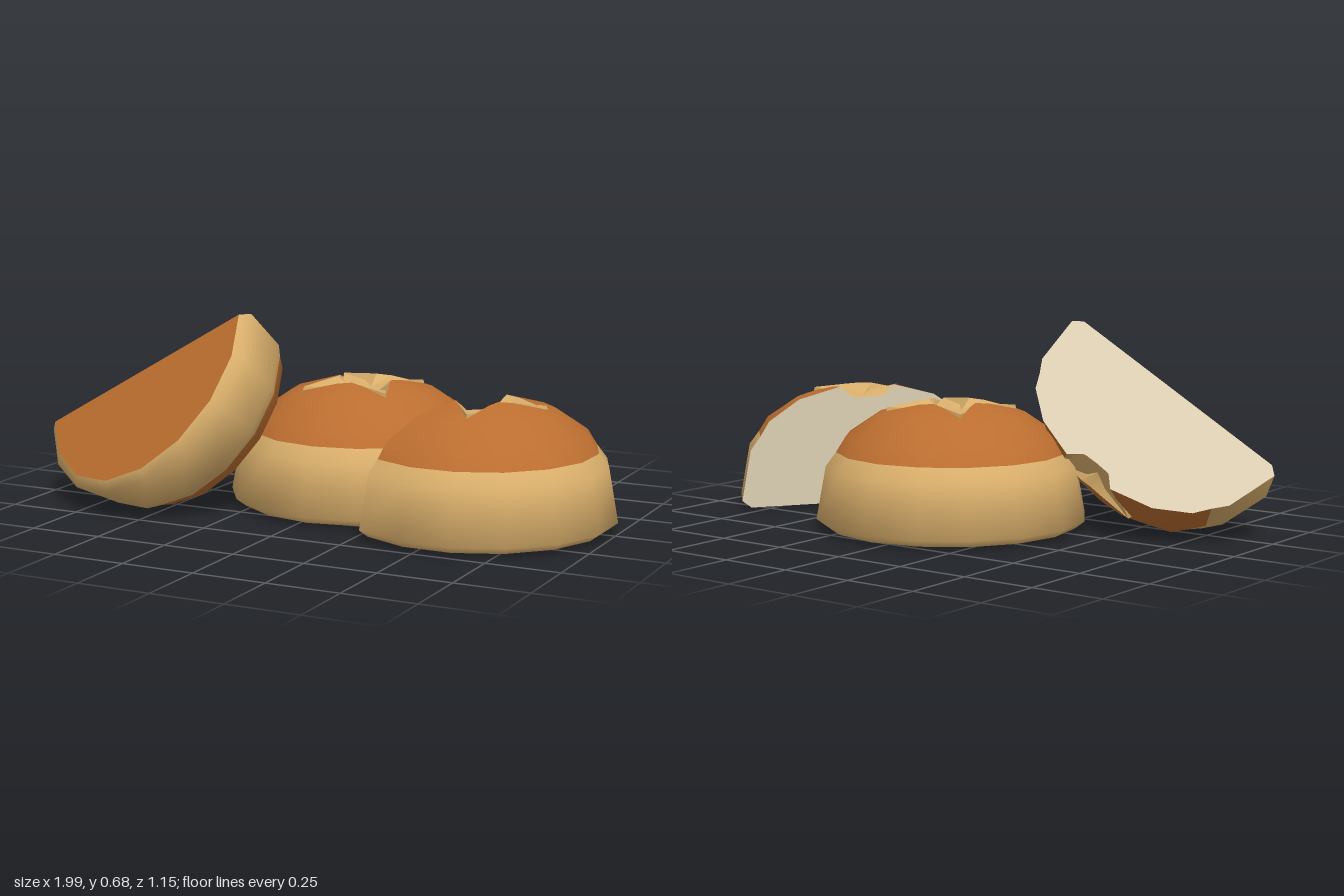
import * as THREE from 'three';
import { toCreasedNormals } from 'three/addons/utils/BufferGeometryUtils.js';

const mat = (name, color) => {
  const m = new THREE.MeshStandardMaterial({ color });
  m.name = name;
  return m;
};

// Rows of [radius, height] from the rim up to the scored star in the crown.
const constant = (r, y) => () => [r, y];
// A row that differs on the axes, between, and on the diagonals (16 sides).
const starRow = (axis, between, diagonal) => (k) =>
  [axis, between, diagonal, between][((k % 4) + 4) % 4];

const SIDE = [constant(0.428, 0.005), constant(0.461, 0.03), constant(0.428, 0.21), constant(0.393, 0.257)];
const STAR_EDGE = starRow([0.1, 0.424], [0.128, 0.419], [0.222, 0.393]);
const DOME = [constant(0.36, 0.31), constant(0.25, 0.384), STAR_EDGE];
const STAR = [
  STAR_EDGE,
  starRow([0.055, 0.385], [0.108, 0.397], [0.218, 0.407]),
  constant(0, 0.383),
];
const BASE = [constant(0, 0.005), SIDE[0]];

// Surface swept through rows; half = number of 22.5 degree steps either side of +x.
function sweep(rows, half, crease) {
  const pos = [], index = [], n = 2 * half + 1;
  for (const row of rows) {
    for (let k = -half; k <= half; k++) {
      const [r, y] = row(k), a = (k * Math.PI) / 8;
      pos.push(r * Math.cos(a), y, r * Math.sin(a));
    }
  }
  for (let j = 0; j < rows.length - 1; j++) {
    for (let i = 0; i < n - 1; i++) {
      const a = j * n + i, b = a + n;
      index.push(a, b, a + 1, b, b + 1, a + 1);
    }
  }
  const g = new THREE.BufferGeometry();
  g.setAttribute('position', new THREE.Float32BufferAttribute(pos, 3));
  g.setIndex(index);
  return toCreasedNormals(g, crease);
}

// Flat cut face on the plane x = 0, facing -x.
function cutFace() {
  const side = [...SIDE, ...DOME, STAR[1]].map((row) => row(4));
  const points = [
    ...side.map(([r, y]) => new THREE.Vector2(r, y)),
    new THREE.Vector2(0, 0.383),
    ...side.reverse().map(([r, y]) => new THREE.Vector2(-r, y)),
  ];
  return new THREE.ShapeGeometry(new THREE.Shape(points)).rotateY(-Math.PI / 2);
}

export function createModel() {
  const crust = mat('brown crust', 0xbc6e30);
  const dough = mat('golden dough', 0xdbb06c);
  const crumb = mat('cream crumb', 0xdccfb3);
  const model = new THREE.Group();
  model.name = 'breadRolls';

  function roll(name, half) {
    const g = new THREE.Group();
    g.name = name;
    const add = (part, geometry, material) => {
      const m = new THREE.Mesh(geometry, material);
      m.name = part;
      g.add(m);
    };
    // Side and dome share one smooth surface with two material groups
    const shell = sweep([...SIDE, ...DOME], half, 1.2);
    const sideCount = (SIDE.length - 1) * half * 2 * 6;
    shell.addGroup(0, sideCount, 0);
    shell.addGroup(sideCount, Infinity, 1);
    add('shell', shell, [dough, crust]);
    add('scoredStar', sweep(STAR, half, 0.5), dough);
    add('base', sweep(BASE, half, 0.5), crust);
    if (half === 4) add('cutFace', cutFace(), crumb);
    model.add(g);
    return g;
  }

  roll('wholeRoll', 8).position.set(0.04, 0, -0.113);

  const standing = roll('standingHalf', 4);
  standing.position.set(0.54, 0, 0.04);
  standing.rotation.y = -0.6;

  // Half roll tipped over, leaning against the whole one
  const tipped = roll('tippedHalf', 4);
  const c = Math.cos(0.74), s = Math.sin(0.74);
  tipped.quaternion.setFromRotationMatrix(new THREE.Matrix4().makeBasis(
    new THREE.Vector3(0.5 * c, -0.866 * c, s),
    new THREE.Vector3(0.5 * s, -0.866 * s, -c),
    new THREE.Vector3(0.866, 0.5, 0),
  ));
  tipped.position.set(-0.605, 0.468, 0.284);

  return model;
}
